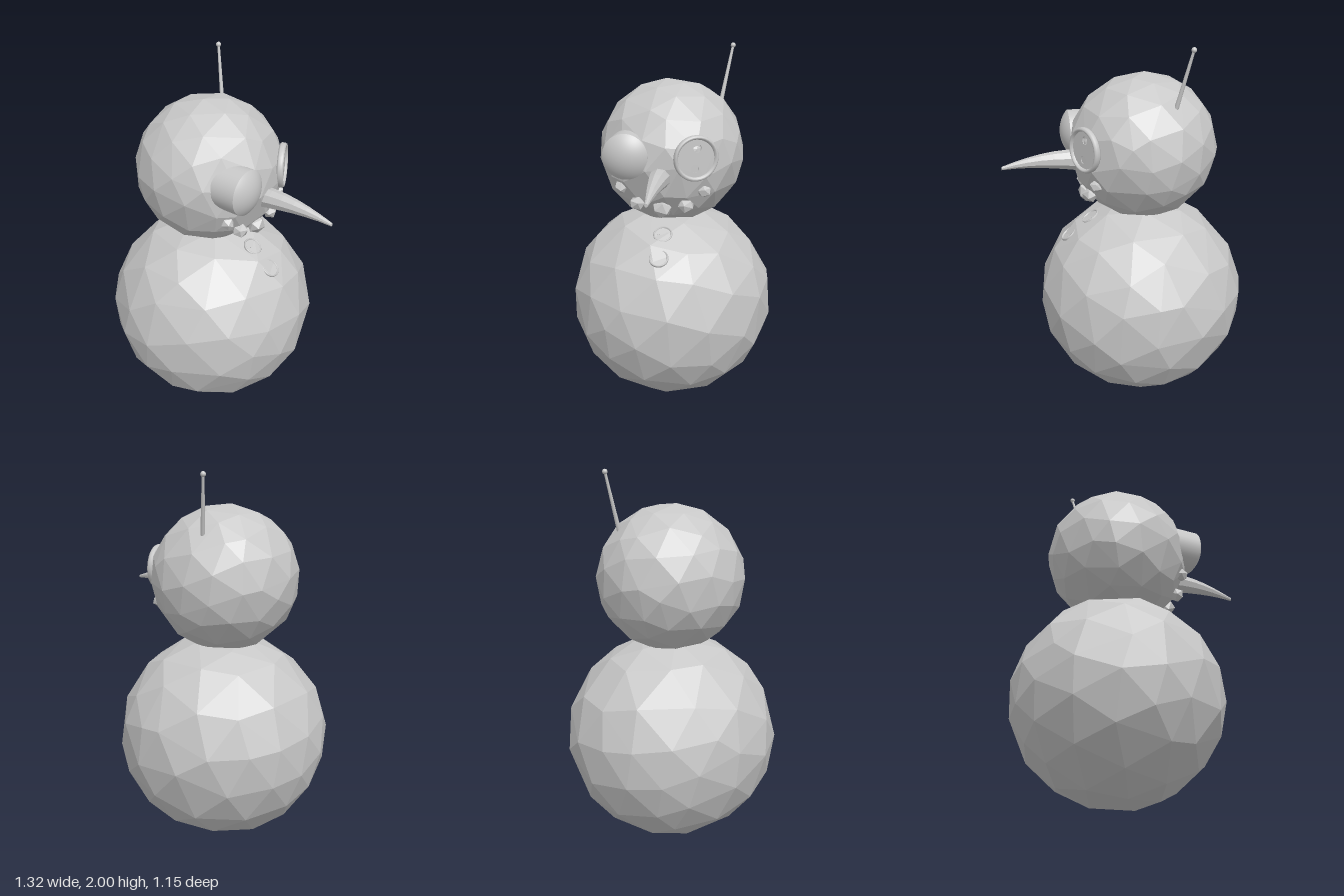
import * as THREE from 'three';

const clay = new THREE.MeshStandardMaterial({ color: 0xc8c8c8 });
clay.name = 'light grey clay';

function add(parent, name, geometry, x = 0, y = 0, z = 0) {
  const mesh = new THREE.Mesh(geometry, clay);
  mesh.name = name;
  mesh.position.set(x, y, z);
  parent.add(mesh);
  return mesh;
}

// Faceted ball: vertices slide along the sphere for uneven, hand-packed facets
function facetedBall(rx, ry, rz, detail, jitter, seed) {
  const g = new THREE.IcosahedronGeometry(1, detail);
  const p = g.attributes.position, v = new THREE.Vector3();
  for (let i = 0; i < p.count; i++) {
    v.fromBufferAttribute(p, i);
    const { x, y, z } = v;
    v.x += jitter * Math.sin(7 * y + 5 * z + seed);
    v.y += jitter * Math.sin(6 * z + 8 * x + seed * 2);
    v.z += jitter * Math.sin(9 * x + 5 * y + seed * 3);
    v.normalize();
    p.setXYZ(i, v.x, v.y, v.z);
  }
  g.rotateX(seed).rotateY(seed * 1.7).scale(rx, ry, rz);
  g.computeVertexNormals();
  return g;
}

// Sewing button facing +z: drilled plate on a shallow backing, with a raised rim
function button(name, r, depth, holeAxis) {
  const group = new THREE.Group();
  group.name = name;
  const face = new THREE.Shape().absarc(0, 0, r * 0.9, 0, Math.PI * 2);
  for (const s of [-1, 1]) {
    const hole = new THREE.Path();
    const hx = s * r * 0.45 * Math.cos(holeAxis), hy = s * r * 0.45 * Math.sin(holeAxis);
    hole.absarc(hx, hy, r * 0.18, 0, Math.PI * 2, true);
    face.holes.push(hole);
  }
  const plate = new THREE.ExtrudeGeometry(face, { depth: depth * 0.6, bevelEnabled: false, curveSegments: 16 });
  add(group, name + 'Plate', plate);
  add(group, name + 'Backing', new THREE.CircleGeometry(r * 0.88, 32), 0, 0, depth * 0.3);
  const rim = [[0.85, 0], [0.96, 0], [1, 0.25], [1, 0.75], [0.95, 1], [0.87, 1], [0.82, 0.6]]
    .map(([a, b]) => new THREE.Vector2(a * r, b * depth));
  add(group, name + 'Rim', new THREE.LatheGeometry(rim, 32).rotateX(Math.PI / 2));
  return group;
}

function place(parent, part, pos, normal) {
  part.position.set(...pos);
  part.lookAt(pos[0] + normal[0], pos[1] + normal[1], pos[2] + normal[2]);
  parent.add(part);
}

export function createModel() {
  const model = new THREE.Group();
  model.name = 'snowman';

  // Snowballs
  add(model, 'body', facetedBall(0.578, 0.568, 0.577, 2, 0.06, 0.6), -0.096, 0.559, 0);
  add(model, 'head', facetedBall(0.4, 0.393, 0.4, 2, 0.06, 1.3), -0.105, 1.433, 0);

  // Bulging lens eye on the left
  const lensEye = new THREE.Group();
  lensEye.name = 'lensEye';
  lensEye.position.set(0.28, 1.477, 0.18);
  const barrel = new THREE.CylinderGeometry(0.12, 0.12, 0.22, 40, 1, true).rotateZ(-Math.PI / 2);
  add(lensEye, 'eyeBarrel', barrel, -0.11);
  const capRadius = 0.182, capAngle = Math.asin(0.12 / capRadius);
  const cap = new THREE.SphereGeometry(capRadius, 40, 10, 0, Math.PI * 2, 0, capAngle).rotateZ(-Math.PI / 2);
  add(lensEye, 'eyeDome', cap, -capRadius * Math.cos(capAngle));
  model.add(lensEye);

  // Button eye on the right
  place(model, button('buttonEye', 0.119, 0.034, 1.45), [0.225, 1.475, -0.174], [0.89, 0.02, -0.46]);

  // Drooping carrot nose
  const nose = new THREE.CylinderGeometry(0.009, 0.058, 0.42, 9, 6).rotateZ(-Math.PI / 2).toNonIndexed();
  const p = nose.attributes.position;
  for (let i = 0; i < p.count; i++) {
    const t = (p.getX(i) + 0.21) / 0.42, bulge = 1 + 0.5 * t * (1 - t);
    p.setY(i, p.getY(i) * bulge + 0.05 * t - 0.07 * t * t);
    p.setZ(i, p.getZ(i) * bulge - 0.008 * t);
  }
  nose.computeVertexNormals();
  add(model, 'nose', nose, 0.45, 1.367, 0);

  // Smile of chunky coal lumps: x, y, z, radius
  const coals = [[0.19, 1.29, 0.225, 0.037], [0.205, 1.21, 0.135, 0.043], [0.208, 1.187, 0, 0.053],
    [0.208, 1.21, -0.127, 0.043], [0.19, 1.29, -0.222, 0.037]];
  coals.forEach(([x, y, z, r], i) => add(model, 'mouthCoal', facetedBall(r, r * 0.95, r, 0, 0.15, i + 0.4), x, y, z));

  // Coat buttons
  place(model, button('coatButton', 0.052, 0.016, 0.3), [0.185, 1.028, 0], [0.55, 0.83, 0]);
  place(model, button('coatButton', 0.052, 0.016, 0.5), [0.305, 0.937, 0], [0.62, 0.78, 0]);

  // Antenna leaning back and outward
  const root = new THREE.Vector3(-0.215, 1.67, -0.25), tip = new THREE.Vector3(-0.286, 1.986, -0.306);
  const rod = new THREE.CylinderGeometry(0.007, 0.012, root.distanceTo(tip), 10);
  const antenna = add(model, 'antennaRod', rod);
  antenna.position.lerpVectors(root, tip, 0.5);
  antenna.quaternion.setFromUnitVectors(new THREE.Vector3(0, 1, 0), tip.clone().sub(root).normalize());
  add(model, 'antennaTip', new THREE.SphereGeometry(0.014, 14, 10), tip.x, tip.y, tip.z);

  return model;
}
